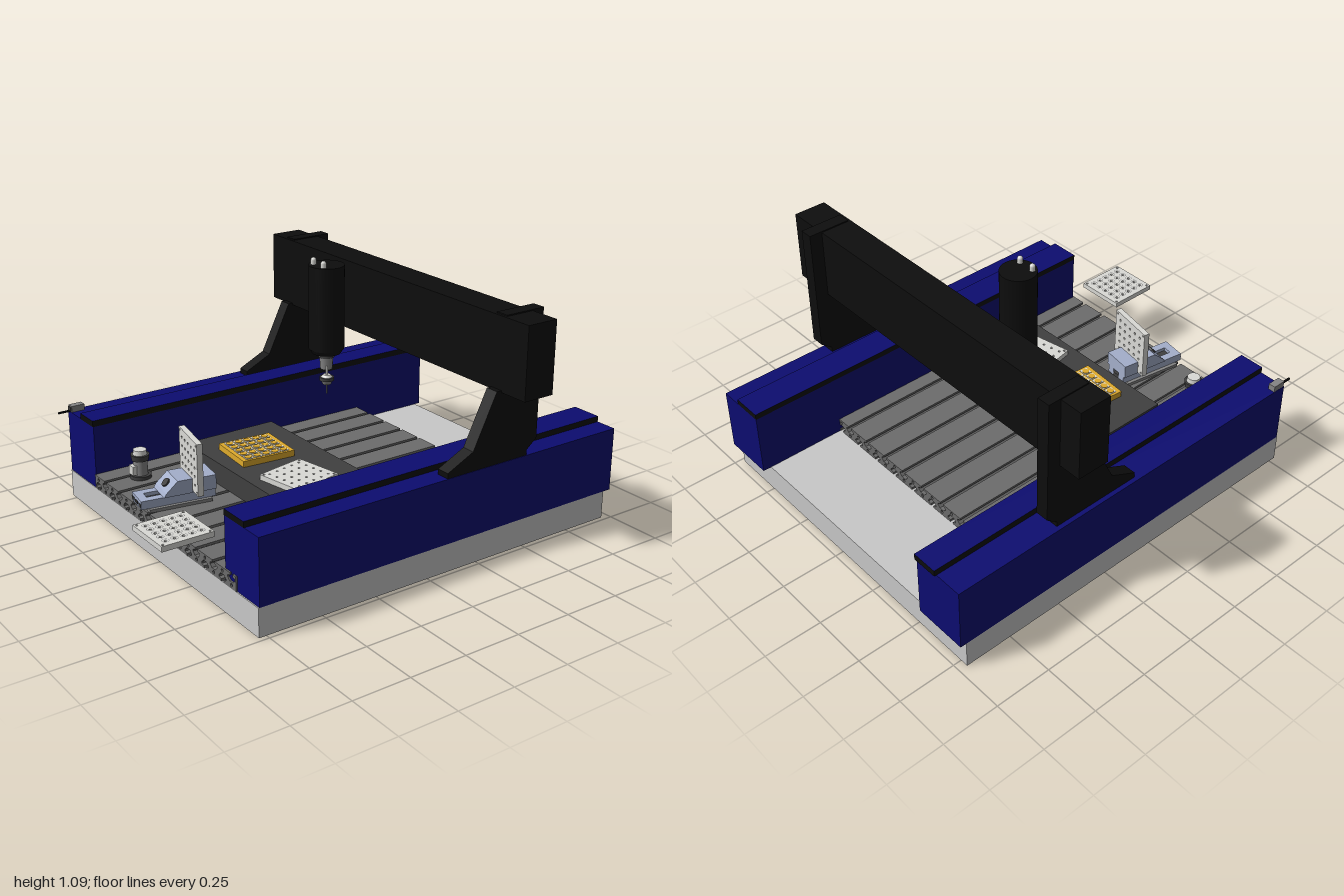
import * as THREE from 'three';

const mat = (name, color) => Object.assign(new THREE.MeshStandardMaterial({ color }), { name });

export function createModel() {
  const root = new THREE.Group();
  root.name = 'gantryRouter';
  const blue = mat('navy blue', 0x0c0c70), black = mat('black', 0x0d0d0d);
  const stone = mat('light grey', 0xc9c9c9), alu = mat('bed grey', 0x6c6c6c);
  const dark = mat('dark grey', 0x404040), white = mat('off white', 0xdadad6);
  const yellow = mat('yellow', 0xe0ab2c), steel = mat('vise blue grey', 0xa4afcb);
  const metal = mat('metal grey', 0x858585);

  const add = (parent, name, geo, material, x = 0, y = 0, z = 0) => {
    const m = new THREE.Mesh(geo, material);
    m.name = name;
    m.position.set(x, y, z);
    parent.add(m);
    return m;
  };
  const group = (name, x, y, z, ry = 0) => {
    const g = new THREE.Group();
    g.name = name;
    g.position.set(x, y, z);
    g.rotation.y = ry;
    root.add(g);
    return g;
  };
  // box given by its min and max on each axis
  const box = (parent, name, material, x0, x1, y0, y1, z0, z1) =>
    add(parent, name, new THREE.BoxGeometry(x1 - x0, y1 - y0, z1 - z0), material,
      (x0 + x1) / 2, (y0 + y1) / 2, (z0 + z1) / 2);
  // upright cylinder standing on y0
  const cyl = (parent, name, material, rTop, rBottom, x, y0, y1, z, sides = 32) =>
    add(parent, name, new THREE.CylinderGeometry(rTop, rBottom, y1 - y0, sides), material, x, (y0 + y1) / 2, z);
  const extrude = (shape, depth) =>
    new THREE.ExtrudeGeometry(shape, { depth, bevelEnabled: false, curveSegments: 10 });
  const polygon = (pts) => new THREE.Shape(pts.map(([x, y]) => new THREE.Vector2(x, y)));
  // side profile (z, y) extruded along x from x0 to x1
  const sideProfile = (parent, name, material, pts, x0, x1) => {
    const m = add(parent, name, extrude(polygon(pts.map(([z, y]) => [-z, y])), x1 - x0), material, x0);
    m.rotation.y = Math.PI / 2;
    return m;
  };
  const hole = (shape, x, y, r) => {
    const p = new THREE.Path();
    p.absarc(x, y, r, 0, Math.PI * 2, true);
    shape.holes.push(p);
  };

  // base slab and side rails
  box(root, 'base', stone, -0.785, 0.73, 0, 0.122, -0.963, 0.783);
  box(root, 'rightRail', blue, -0.785, -0.545, 0.122, 0.402, -0.99, 0.78);
  box(root, 'leftRail', blue, 0.5, 0.73, 0.122, 0.402, -1, 0.778);
  const stripFaces = [black, black, blue, black, black, black];
  box(root, 'rightRailCover', stripFaces, -0.66, -0.545, 0.402, 0.429, -1, 0.782);
  box(root, 'leftRailCover', stripFaces, 0.5, 0.635, 0.402, 0.427, -1, 0.78);

  // bed: slotted extrusion with T-slots above and below
  const x0 = -0.545, x1 = 0.582, y0 = 0.123, y1 = 0.185, n = 9, pitch = (x1 - x0) / n;
  const slot = (x, y, d) => [[-0.009, 0], [-0.009, 0.01], [-0.024, 0.014], [-0.024, 0.022], [-0.012, 0.034],
    [0.012, 0.034], [0.024, 0.022], [0.024, 0.014], [0.009, 0.01], [0.009, 0]]
    .map(([a, b]) => [x + d * a, y + d * b]);
  const outline = [[x0, y0]];
  for (let i = 0; i < n; i++) outline.push(...slot(x0 + pitch * (i + 0.25), y0, 1));
  outline.push([x1, y0], [x1, y1]);
  for (let i = n - 1; i >= 0; i--) outline.push(...slot(x0 + pitch * (i + 0.75), y1, -1));
  outline.push([x0, y1]);
  const bedShape = polygon(outline);
  for (let i = 0; i < n; i++) {
    hole(bedShape, x0 + pitch * (i + 0.25), 0.171, 0.007);
    hole(bedShape, x0 + pitch * (i + 0.75), 0.137, 0.007);
  }
  add(root, 'slottedBed', extrude(bedShape, 1.39), alu, 0, 0, -0.605);
  box(root, 'workBlock', dark, -0.42, 0.36, 0.185, 0.283, -0.033, 0.408);

  // gantry: beam and two raked columns
  box(root, 'gantryBeam', black, -0.865, 0.86, 0.702, 1.008, -0.492, -0.348);
  const column = [[-0.09, 0.402], [-0.09, 0.425], [-0.215, 0.485], [-0.325, 0.71], [-0.36, 0.71], [-0.36, 1.013],
    [-0.55, 1.013], [-0.55, 0.465], [-0.5, 0.425], [-0.5, 0.402]];
  sideProfile(root, 'rightColumn', black, column, -0.765, -0.708);
  sideProfile(root, 'leftColumn', black, column, 0.67, 0.728);

  // spindle with collet and two connectors
  const spindle = group('spindle', -0.125, 0, -0.125);
  cyl(spindle, 'motor', black, 0.076, 0.076, 0, 0.695, 1.06, 0, 40);
  cyl(spindle, 'motorNose', black, 0.074, 0.062, 0, 0.675, 0.695, 0, 40);
  cyl(spindle, 'colletNeck', dark, 0.034, 0.034, 0, 0.655, 0.675, 0);
  cyl(spindle, 'colletNut', metal, 0.03, 0.026, 0, 0.602, 0.655, 0, 12);
  for (const x of [-0.035, 0.037]) {
    cyl(spindle, 'connector', white, 0.012, 0.012, x, 1.06, 1.078, 0.042, 16);
    add(spindle, 'connectorTip', new THREE.SphereGeometry(0.012, 16, 8), white, x, 1.078, 0.042);
  }

  // touch probe
  const probe = group('touchProbe', -0.038, 0, -0.065);
  cyl(probe, 'probeShank', white, 0.005, 0.005, 0, 0.61, 0.65, 0, 12);
  cyl(probe, 'probeCap', white, 0.016, 0.024, 0, 0.602, 0.612, 0);
  cyl(probe, 'probeBody', dark, 0.031, 0.031, 0, 0.588, 0.602, 0);
  cyl(probe, 'probeSkirt', metal, 0.025, 0.018, 0, 0.57, 0.588, 0);
  cyl(probe, 'probeStylus', metal, 0.004, 0.003, 0, 0.527, 0.57, 0, 10);

  // 5 x 5 grid helper and perforated plate in its own xy plane
  const grid = (step, fn) => {
    for (let i = -2; i <= 2; i++) for (let j = -2; j <= 2; j++) fn(i * step, j * step);
  };
  const platePart = (parent, name, w, h, t, step, r) => {
    const s = polygon([[-w / 2, -h / 2], [w / 2, -h / 2], [w / 2, h / 2], [-w / 2, h / 2]]);
    grid(step, (x, y) => hole(s, x, y, r));
    for (const sx of [-1, 1]) for (const sy of [-1, 1]) hole(s, sx * (w / 2 - 0.012), sy * (h / 2 - 0.012), 0.005);
    return add(parent, name, extrude(s, t), white);
  };

  // yellow pocket plate: pale inlay with yellow discs
  const pocket = group('pocketPlate', -0.155, 0.283, 0.217, -0.08);
  box(pocket, 'pocketBody', yellow, -0.113, 0.113, 0, 0.027, -0.121, 0.121);
  grid(0.042, (x, z) => {
    box(pocket, 'pocketCell', white, x - 0.018, x + 0.018, 0.027, 0.029, z - 0.018, z + 0.018);
    cyl(pocket, 'pocketDisc', yellow, 0.015, 0.015, x, 0.029, 0.031, z, 16);
  });

  // flat plates, one on the block and one beyond the front edge
  const flat = group('holePlate', 0.177, 0.283, 0.226, 0.19);
  platePart(flat, 'holePlateBody', 0.222, 0.228, 0.023, 0.042, 0.005).rotation.x = -Math.PI / 2;
  const front = group('ringPlate', 0.315, 0.282, 0.888);
  platePart(front, 'ringPlateBody', 0.222, 0.224, 0.023, 0.038, 0.006).rotation.x = -Math.PI / 2;
  grid(0.038, (x, z) => {
    add(front, 'pocketRing', new THREE.RingGeometry(0.013, 0.0155, 16), metal, x, 0.024, z).rotation.x = -Math.PI / 2;
  });

  // standing plate held in the vise
  const standing = group('standingPlate', -0.096, 0.353, 0.555, -0.2);
  platePart(standing, 'standingPlateBody', 0.222, 0.226, 0.025, 0.038, 0.006);

  // vise
  const vise = group('vise', -0.12, 0.185, 0.64, -0.16);
  box(vise, 'viseFoot', metal, -0.07, 0.07, 0, 0.014, -0.14, 0.13);
  for (const s of [-1, 1]) {
    const a = s * 0.055, b = s * 0.02;
    box(vise, 'viseRail', steel, Math.min(a, b), Math.max(a, b), 0.014, 0.05, -0.16, 0.16);
  }
  box(vise, 'viseChannel', dark, -0.02, 0.02, 0.014, 0.034, -0.16, 0.135);
  box(vise, 'viseEnd', steel, -0.055, 0.055, 0.014, 0.05, 0.125, 0.16);
  box(vise, 'fixedJaw', steel, -0.065, 0.065, 0.05, 0.112, -0.16, -0.09);
  sideProfile(vise, 'movingJaw', steel,
    [[-0.058, 0.05], [0.065, 0.05], [0.055, 0.066], [0.005, 0.112], [-0.058, 0.112]], -0.062, 0.062);
  const screw = add(vise, 'jawScrew', new THREE.CylinderGeometry(0.019, 0.019, 0.012, 20), dark, 0, 0.088, 0.033);
  screw.rotation.x = Math.PI / 4;
  for (const x of [-0.04, 0, 0.04])
    box(vise, 'viseSlot', dark, x - 0.013, x + 0.013, 0.024, 0.036, 0.16, 0.163);

  // tool height sensor
  const sensor = group('toolSensor', -0.415, 0, 0.635);
  cyl(sensor, 'sensorFoot', dark, 0.046, 0.046, 0, 0.185, 0.2, 0);
  cyl(sensor, 'sensorBody', metal, 0.03, 0.032, 0, 0.2, 0.265, 0);
  cyl(sensor, 'sensorCollar', dark, 0.04, 0.036, 0, 0.265, 0.29, 0);
  cyl(sensor, 'sensorPad', white, 0.028, 0.03, 0, 0.29, 0.311, 0);
  box(sensor, 'sensorPlug', white, -0.018, 0.018, 0.205, 0.245, 0.02, 0.045);

  // limit switch on the rail corner
  const limit = group('limitSwitch', -0.768, 0.402, 0.75);
  box(limit, 'switchBody', metal, -0.016, 0.016, 0, 0.027, -0.032, 0.028);
  box(limit, 'switchLever', black, -0.004, 0.004, 0, 0.007, 0.028, 0.085);
  box(limit, 'switchFace', dark, -0.012, 0.012, 0.004, 0.022, 0.028, 0.033);

  return root;
}
